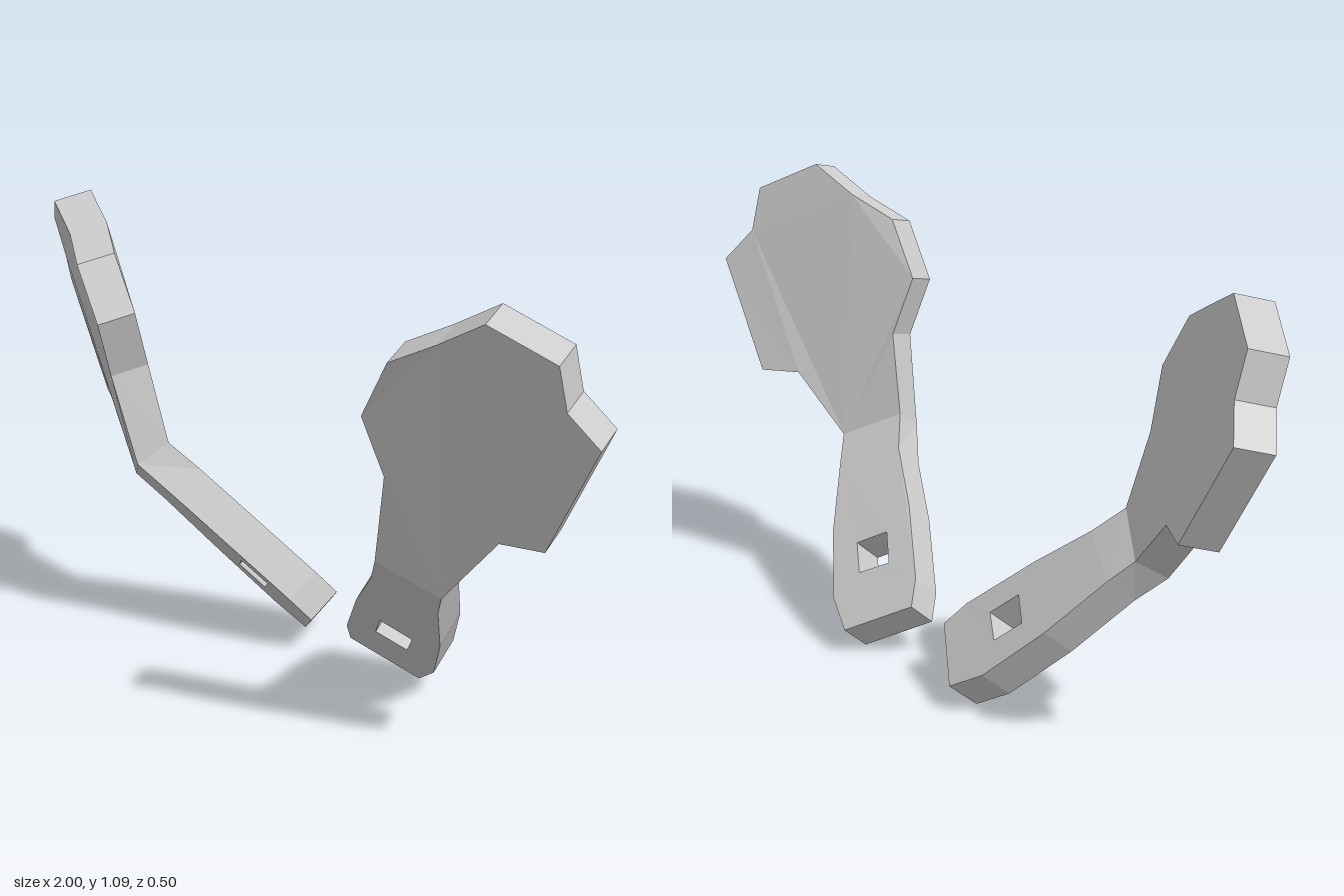
import * as THREE from 'three';

const V = (p) => new THREE.Vector3(...p);

// The bend shared by both slabs: inner and outer end, and its own offset to the back
const BEND_IN = [0.465, 0.45, 0.17];
const BEND_OUT = [0.595, 0.378, 0.085];
const BEND_OFFSET = [-0.03, 0.05, -0.075];

// Thick slab from a counter-clockwise front outline; the first edge is the open bend
function slab(outline, offset, hole = []) {
  const rings = [outline, hole].filter((r) => r.length);
  const flat = rings.map((r) => r.map(([x, y]) => new THREE.Vector2(x, y)));
  const front = rings.flat().map(V);
  const back = front.map((p, i) => p.clone().add(V(i < 2 ? BEND_OFFSET : offset)));
  const pos = [];
  const tri = (...pts) => pts.forEach((p) => pos.push(p.x, p.y, p.z));

  // front and back faces
  for (const [a, b, c] of THREE.ShapeUtils.triangulateShape(flat[0], flat.slice(1))) {
    tri(front[a], front[b], front[c]);
    tri(back[c], back[b], back[a]);
  }
  // edge walls around the outline and inside the hole
  let start = 0;
  for (const ring of rings) {
    for (let i = 0; i < ring.length; i++) {
      if (start === 0 && i === 0) continue;
      const a = start + i;
      const b = start + ((i + 1) % ring.length);
      tri(front[a], back[a], back[b]);
      tri(front[a], back[b], front[b]);
    }
    start += ring.length;
  }
  const geo = new THREE.BufferGeometry();
  geo.setAttribute('position', new THREE.Float32BufferAttribute(pos, 3));
  geo.computeVertexNormals();
  return geo;
}

export function createModel() {
  const model = new THREE.Group();
  model.name = 'bentPaddlePair';
  const material = new THREE.MeshStandardMaterial({ color: 0xcccccc, flatShading: true });

  // broad upper paddle
  const paddle = slab([
    BEND_IN, BEND_OUT,
    [0.747, 0.543, 0.055], [0.84, 0.537, 0.005], [1.0, 0.803, 0.005], [0.946, 0.883, 0.055],
    [0.95, 0.99, 0.085], [0.815, 1.065, 0.17], [0.7, 1.003, 0.2], [0.595, 0.95, 0.25],
    [0.51, 0.813, 0.25], [0.53, 0.67, 0.2],
  ], [-0.04, 0.025, -0.085]);

  // narrow lower arm with a square slot
  const arm = slab([
    BEND_OUT, BEND_IN,
    [0.385, 0.374, 0.115], [0.257, 0.273, 0.051], [0.113, 0.143, -0.038], [0.077, 0.09, -0.079],
    [0.223, 0.005, -0.176], [0.31, 0.055, -0.147], [0.43, 0.18, -0.06], [0.533, 0.315, 0.039],
  ], [-0.012, 0.062, -0.072], [
    [0.272, 0.21, -0.008], [0.338, 0.171, -0.052], [0.28, 0.118, -0.088], [0.213, 0.155, -0.046],
  ]);

  // mirrored pair
  for (const [side, sign] of [['left', 1], ['right', -1]]) {
    const half = new THREE.Group();
    half.name = side + 'Bracket';
    for (const [name, geo] of [['Paddle', paddle], ['Arm', arm]]) {
      const mesh = new THREE.Mesh(geo, material);
      mesh.name = side + name;
      half.add(mesh);
    }
    half.scale.x = sign;
    model.add(half);
  }
  return model;
}
